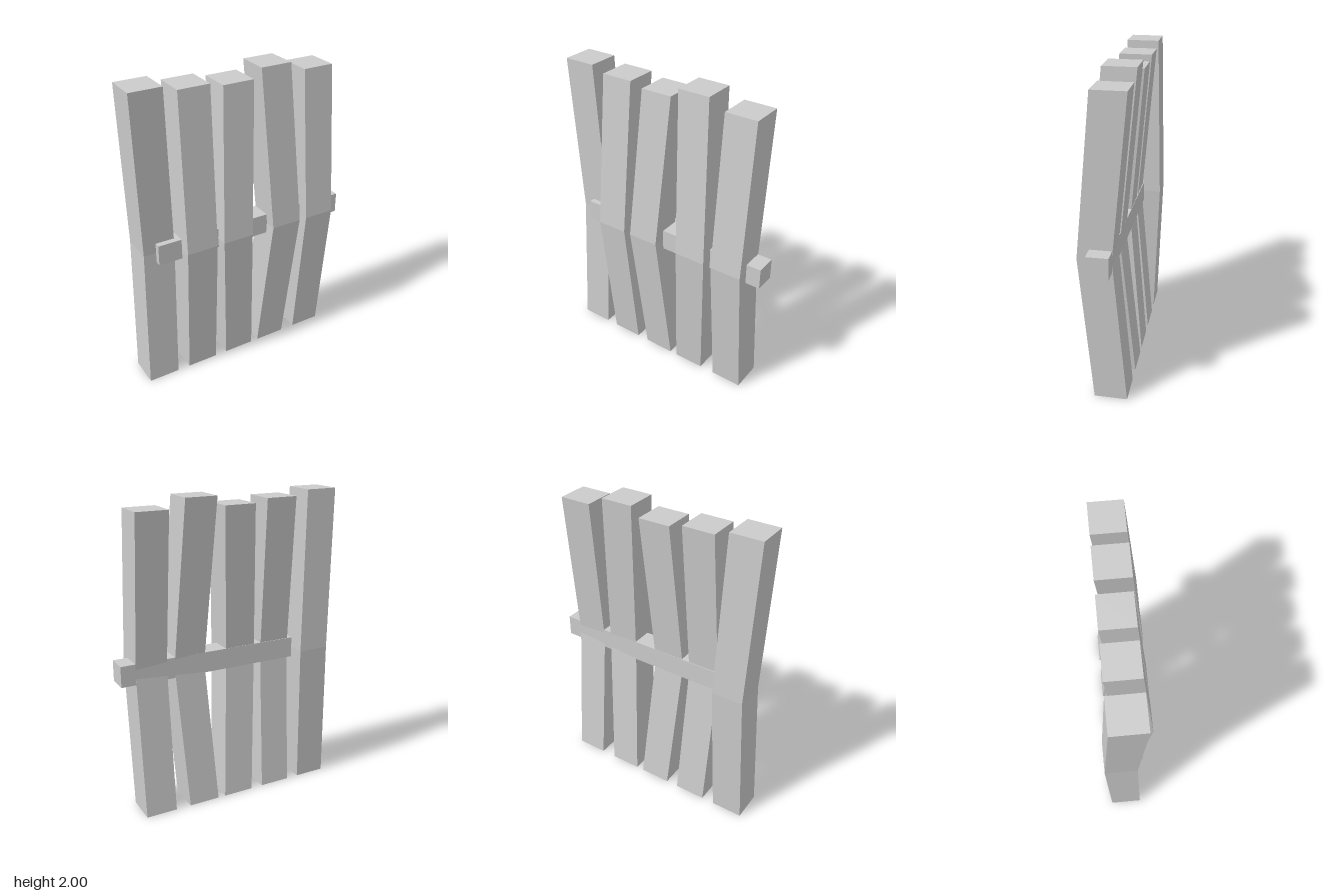
import * as THREE from 'three';

const material = new THREE.MeshStandardMaterial({ color: 0xcccccc, flatShading: true });

// Square beam that kinks at mid height: the box's three rings of vertices are shifted by rule
function bentBeam(size, height, bendY, endPos, midPos) {
  const g = new THREE.BoxGeometry(size, 2, size, 1, 2, 1);
  const p = g.attributes.position;
  for (let i = 0; i < p.count; i++) {
    const level = p.getY(i);
    const isMid = Math.abs(level) < 0.5;
    const [cx, cz] = isMid ? midPos : endPos;
    p.setXYZ(i, p.getX(i) + cx, isMid ? bendY : level > 0 ? height : 0, p.getZ(i) + cz);
  }
  g.computeVertexNormals();
  return new THREE.Mesh(g, material);
}

export function createModel() {
  const model = new THREE.Group();
  model.name = 'fence';

  // Planks: height, centre x at the ends, centre x at the bend, centre z at the bend
  const planks = [
    [2.0, -0.622, -0.588, -0.062],
    [1.965, -0.332, -0.352, 0.062],
    [1.94, -0.043, -0.097, 0.062],
    [2.0, 0.214, 0.266, 0.062],
    [1.94, 0.521, 0.524, 0.062],
  ];
  planks.forEach(([height, endX, midX, midZ], i) => {
    const plank = bentBeam(0.206, height, 0.953, [endX, -0.028], [midX, midZ]);
    plank.name = `plank${i + 1}`;
    model.add(plank);
  });

  // Cross rail, running very slightly backward toward the right
  const railGeometry = new THREE.BoxGeometry(1.332, 0.135, 0.134);
  railGeometry.applyMatrix4(new THREE.Matrix4().makeShear(0, 0.0075, 0, 0, 0, 0));
  const rail = new THREE.Mesh(railGeometry, material);
  rail.name = 'crossRail';
  rail.position.set(0.056, 0.952, 0.019);
  model.add(rail);

  return model;
}
